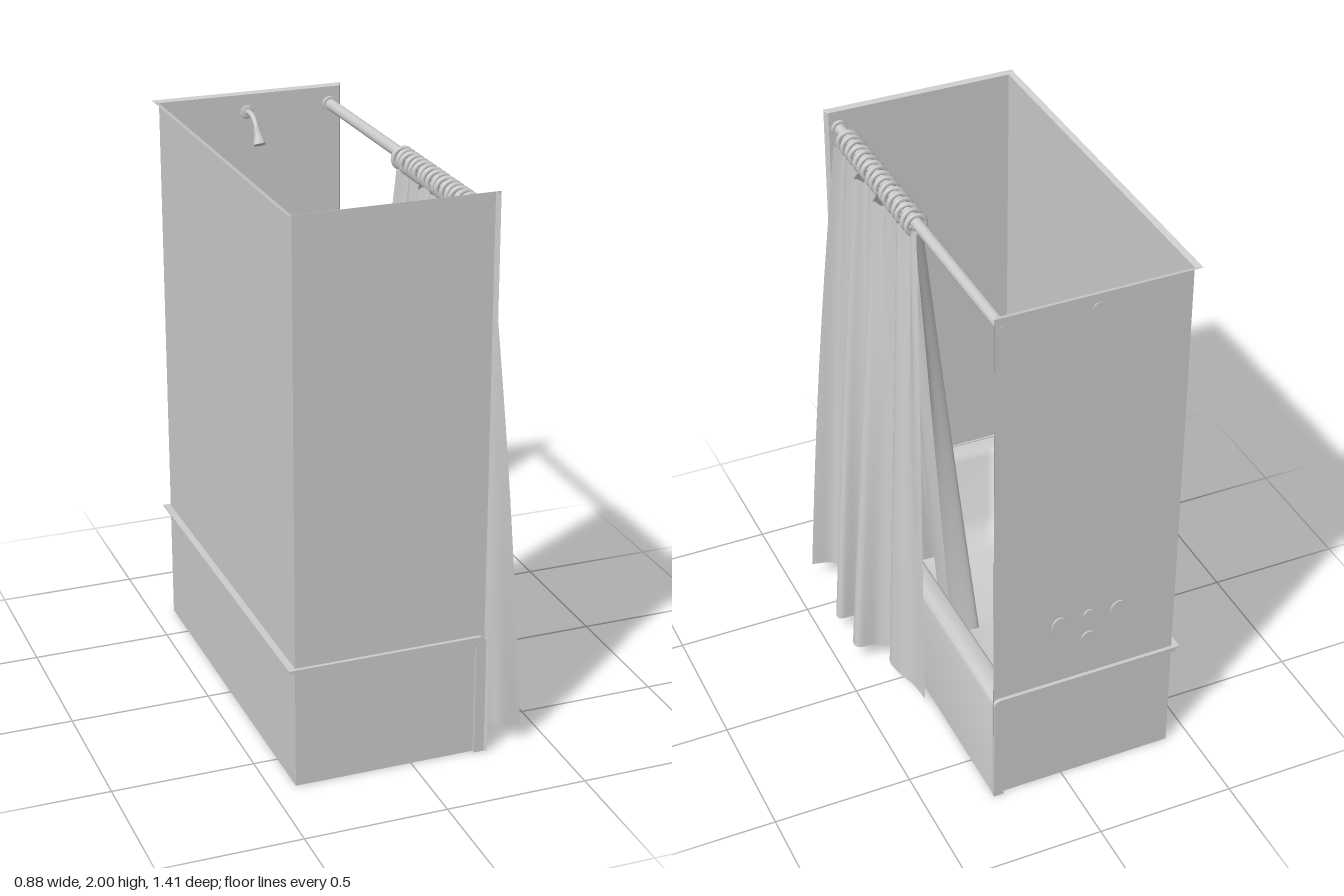
import * as THREE from 'three';
import { toCreasedNormals } from 'three/addons/utils/BufferGeometryUtils.js';

const grey = new THREE.MeshStandardMaterial({ color: 0xcccccc });
const sheet = new THREE.MeshStandardMaterial({ color: 0xcccccc, side: THREE.DoubleSide });

// Skin a surface over rows of [x, y, z] points
function loft(rows, closed = false) {
  const n = rows[0].length, index = [];
  for (let r = 0; r < rows.length - 1; r++) {
    for (let i = 0; i < (closed ? n : n - 1); i++) {
      const j = (i + 1) % n, a = r * n + i, b = r * n + j, c = a + n, d = b + n;
      index.push(a, c, b, b, c, d);
    }
  }
  const g = new THREE.BufferGeometry();
  g.setAttribute('position', new THREE.Float32BufferAttribute(rows.flat(2), 3));
  g.setIndex(index);
  g.computeVertexNormals();
  return g;
}

// Loop around a rounded rectangle at height y
function roundRect(x0, x1, z0, z1, r, y) {
  const pts = [], corners = [[x1 - r, z1 - r], [x0 + r, z1 - r], [x0 + r, z0 + r], [x1 - r, z0 + r]];
  corners.forEach(([cx, cz], k) => {
    for (let i = 0; i <= 6; i++) {
      const a = (k + i / 6) * Math.PI / 2;
      pts.push([cx + r * Math.cos(a), y, cz + r * Math.sin(a)]);
    }
  });
  return pts;
}

export function createModel() {
  const root = new THREE.Group();
  const add = (name, geometry, material = grey, x = 0, y = 0, z = 0) => {
    const m = new THREE.Mesh(geometry, material);
    m.name = name;
    m.position.set(x, y, z);
    root.add(m);
    return m;
  };
  // Turned part whose axis points out of the tap wall (+z)
  const turned = (name, profile, x, y, z) =>
    add(name, toCreasedNormals(new THREE.LatheGeometry(
      profile.map(p => new THREE.Vector2(...p)), 24).rotateX(Math.PI / 2), 0.7), sheet, x, y, z);

  // Three-sided surround with flared top and side edges
  const wallRow = (y, o) => [
    [0.272, y, -0.705], [0.262, y, -0.685 - o], [-0.415 - o, y, -0.685 - o],
    [-0.415 - o, y, 0.685 + o], [0.262, y, 0.685 + o], [0.272, y, 0.705]];
  add('surroundWalls', toCreasedNormals(
    loft([wallRow(0, 0), wallRow(1.994, 0), wallRow(2, 0.02)]), 0.3), sheet);

  // Bathtub: apron, deck, basin with one sloping end, floor
  add('bathtub', toCreasedNormals(loft([
    roundRect(-0.413, 0.262, -0.683, 0.683, 0.002, 0),
    roundRect(-0.413, 0.262, -0.683, 0.683, 0.002, 0.412),
    roundRect(-0.413, 0.257, -0.683, 0.683, 0.002, 0.428),
    roundRect(-0.413, 0.243, -0.683, 0.683, 0.002, 0.438),
    roundRect(-0.37, 0.195, -0.64, 0.635, 0.06, 0.438),
    roundRect(-0.36, 0.185, -0.63, 0.62, 0.055, 0.432),
    roundRect(-0.352, 0.178, -0.624, 0.607, 0.055, 0.41),
    roundRect(-0.328, 0.16, -0.61, 0.52, 0.07, 0.2),
    roundRect(-0.315, 0.148, -0.6, 0.488, 0.08, 0.16),
    roundRect(-0.29, 0.125, -0.575, 0.45, 0.08, 0.132),
    roundRect(-0.255, 0.09, -0.54, 0.41, 0.08, 0.12),
    roundRect(-0.09, -0.08, -0.1, -0.09, 0.005, 0.118),
    roundRect(-0.085, -0.085, -0.095, -0.095, 0, 0.118),
  ], true), 0.9), sheet);

  // Rolled tub lip showing through the end walls and back wall
  const lip = new THREE.Shape();
  lip.moveTo(-0.44, 0.442);
  lip.lineTo(0.236, 0.442);
  lip.quadraticCurveTo(0.264, 0.442, 0.264, 0.414);
  lip.lineTo(0.264, 0);
  lip.lineTo(0.228, 0);
  lip.lineTo(0.228, 0.405);
  lip.quadraticCurveTo(0.228, 0.422, 0.212, 0.422);
  lip.lineTo(-0.415, 0.422);
  for (const z of [-0.698, 0.678]) {
    add('tubEndLip', new THREE.ExtrudeGeometry(lip, { depth: 0.02, bevelEnabled: false }), grey, 0, 0, z);
  }
  const backLip = new THREE.Shape([[-0.44, 0.442], [-0.44, 0.437], [-0.415, 0.422], [-0.408, 0.442]]
    .map(p => new THREE.Vector2(...p)));
  add('tubBackLip', new THREE.ExtrudeGeometry(backLip, { depth: 1.396, bevelEnabled: false }), grey, 0, 0, -0.698);

  // Drain with its outlet under the floor
  add('drain', new THREE.CylinderGeometry(0.022, 0.022, 0.008, 20), grey, -0.09, 0.122, -0.455);
  for (let i = 0; i < 3; i++) {
    const bar = add('drainGrate', new THREE.BoxGeometry(0.036, 0.006, 0.005), grey, -0.09, 0.127, -0.455);
    bar.rotation.y = i * Math.PI / 3;
  }
  add('drainOutlet', new THREE.BoxGeometry(0.06, 0.012, 0.06), grey, -0.09, 0.112, -0.455);

  // Two tap handles and the diverter between them
  const handle = [[0, 0], [0.03, 0], [0.03, 0.008], [0.016, 0.016], [0.016, 0.034],
    [0.022, 0.038], [0.024, 0.069], [0.021, 0.073], [0, 0.073]];
  for (const x of [-0.2, 0.02]) {
    turned('tapHandle', handle, x, 0.685, -0.691).scale.y = 1.3;
  }
  turned('diverterKnob', handle, -0.09, 0.7, -0.691).scale.set(0.75, 0.75, 0.85);

  // Tub spout, tapering towards its mouth
  turned('spoutFlange', [[0, 0], [0.027, 0], [0.027, 0.007], [0.02, 0.014], [0, 0.014]], -0.09, 0.6, -0.691);
  const spoutRows = [[0.602, -0.685, 0.023], [0.606, -0.64, 0.021], [0.606, -0.6, 0.019], [0.603, -0.575, 0.018],
    [0.595, -0.557, 0.016], [0.58, -0.55, 0.014], [0.58, -0.55, 0]].map(([y, z, r], k) => {
    const tilt = Math.max(0, k - 2) * 0.3;
    return Array.from({ length: 20 }, (_, i) => {
      const a = i / 20 * Math.PI * 2, v = r * Math.sin(a);
      return [-0.09 + r * Math.cos(a), y + v * Math.cos(tilt), z + v * Math.sin(tilt)];
    });
  });
  add('spout', toCreasedNormals(loft(spoutRows, true), 0.9), sheet);

  // Shower arm, wall flange and tilted head
  turned('showerFlange', [[0, 0], [0.027, 0], [0.025, 0.007], [0.01, 0.014], [0, 0.014]], -0.09, 1.93, -0.691);
  const arm = [[1.93, -0.685], [1.935, -0.64], [1.918, -0.595], [1.885, -0.572]];
  add('showerArm', new THREE.TubeGeometry(new THREE.CatmullRomCurve3(
    arm.map(([y, z]) => new THREE.Vector3(-0.09, y, z))), 20, 0.01, 12), sheet);
  const head = add('showerHead', toCreasedNormals(new THREE.LatheGeometry(
    [[0, -0.03], [0.023, -0.03], [0.023, -0.024], [0.015, 0], [0.013, 0.012], [0.014, 0.03], [0, 0.03]]
      .map(p => new THREE.Vector2(...p)), 24), 0.6), sheet, -0.09, 1.872, -0.564);
  head.rotation.x = -0.5;

  // Curtain rod with end flanges and rings
  const rodX = 0.225, rodY = 1.93;
  add('curtainRod', new THREE.CylinderGeometry(0.02, 0.02, 1.37, 20).rotateX(Math.PI / 2), grey, rodX, rodY, 0);
  for (const z of [-0.679, 0.679]) {
    add('rodFlange', new THREE.CylinderGeometry(0.029, 0.029, 0.014, 24).rotateX(Math.PI / 2), grey, rodX, rodY, z);
  }
  const ringCount = 17;
  for (let i = 0; i < ringCount; i++) {
    const ring = add('curtainRing', new THREE.TorusGeometry(0.034, 0.009, 8, 24), grey,
      rodX, rodY - 0.01, 0.01 + 0.595 * i / (ringCount - 1));
    ring.rotation.y = 0.15 * Math.sin(i * 2.3);
  }

  // Hanging cloth: each hem fold narrows upwards into a pleated top edge
  const cloth = (name, topX, hemY, hem, bulge) => {
    const n = 160, rows = [];
    const edge = new THREE.CatmullRomCurve3(hem.map(([x, z]) => new THREE.Vector3(x, 0, z))).getSpacedPoints(n);
    const midX = edge.reduce((sum, p) => sum + p.x, 0) / edge.length;
    for (let r = 0; r <= 24; r++) {
      const s = r / 24;
      rows.push(edge.map((p, i) => {
        const u = i / n, pleat = Math.sin(u * Math.PI * 16);
        const x = topX + 0.4 * (p.x - midX) + 0.012 * pleat * (1 - s), z = -0.015 + 0.63 * u;
        return [
          THREE.MathUtils.lerp(x, p.x, s),
          1.905 + (hemY - 1.905) * s - 0.012 * (1 - s) * pleat ** 2,
          THREE.MathUtils.lerp(z, p.z, s) + bulge * u * Math.sin(Math.PI * s)];
      }));
    }
    add(name, loft(rows), sheet);
  };
  cloth('outerCurtain', 0.25, 0.06, [
    [0.312, -0.203], [0.32, -0.12], [0.345, -0.03], [0.35, 0.04], [0.31, 0.09], [0.35, 0.14],
    [0.43, 0.16], [0.43, 0.2], [0.35, 0.215], [0.315, 0.27], [0.35, 0.325], [0.43, 0.335],
    [0.43, 0.37], [0.35, 0.375], [0.31, 0.42], [0.32, 0.5], [0.31, 0.58], [0.33, 0.65], [0.41, 0.677]], 0.03);
  cloth('innerLiner', 0.205, 0.2, [
    [0.14, -0.05], [0.04, -0.07], [0.06, -0.01], [0.09, 0.03], [0.1, 0.16], [0.02, 0.19], [-0.002, 0.23],
    [-0.002, 0.31], [0.02, 0.36], [0.09, 0.375], [0.09, 0.435], [0.03, 0.455], [-0.025, 0.5],
    [0.03, 0.55], [0.12, 0.575]], 0);

  return root;
}
